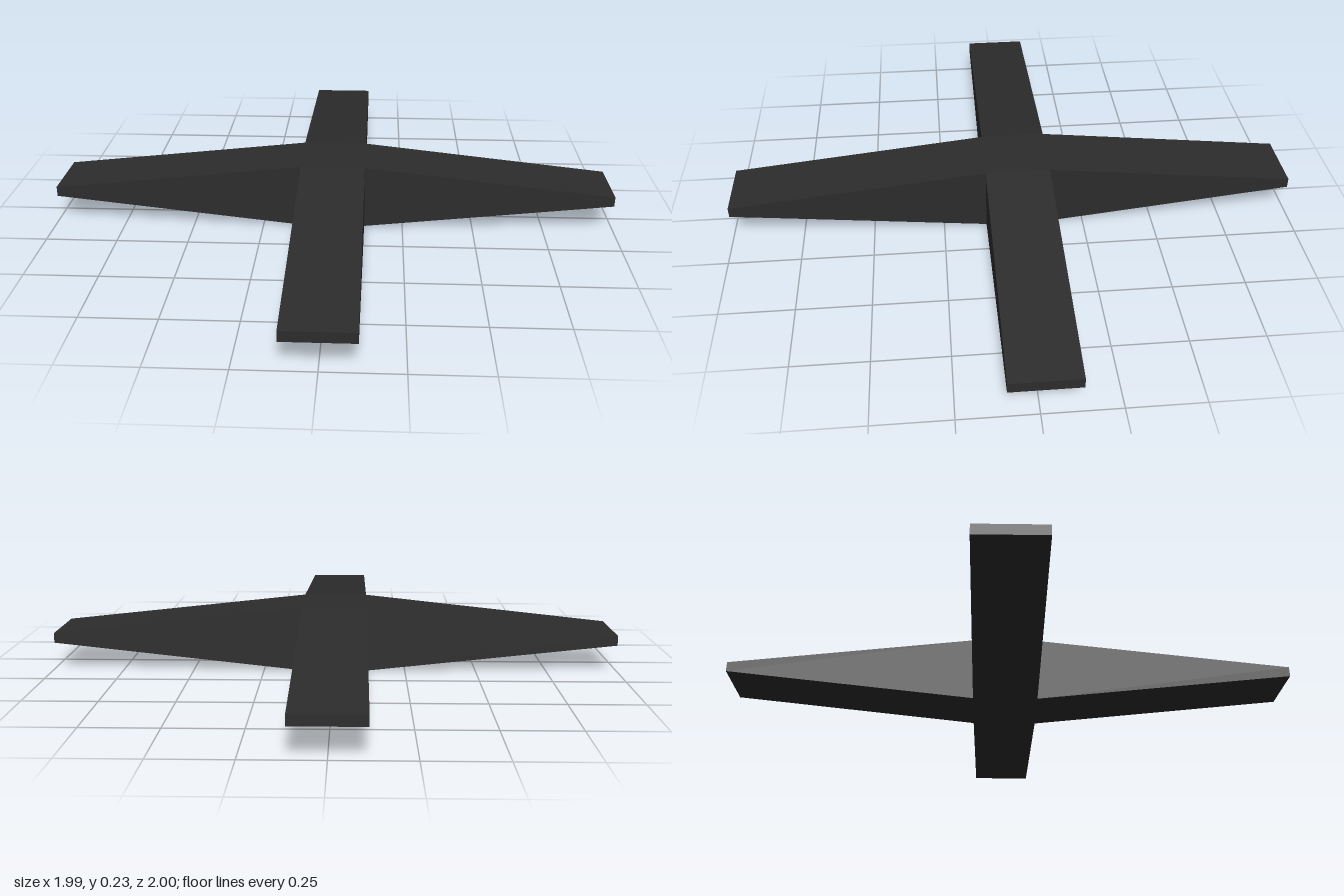
import * as THREE from 'three';

const HALF = 0.113;      // half width of hub and arms
const HEIGHT = 0.228;    // hub thickness
const TIP = 0.035;       // tip thickness
const MID = 0.116;       // height of the centre plane
const HUB_Z = -0.015;    // hub sits slightly behind centre

// Arm along +z: full height at the root, thin at the tip, open where it joins the hub
function armGeometry(length) {
  const g = new THREE.BoxGeometry(HALF * 2, HEIGHT, length);
  g.translate(0, 0, length / 2);
  const p = g.attributes.position;
  for (let i = 0; i < p.count; i++) {
    if (p.getZ(i) > length / 2) p.setY(i, Math.sign(p.getY(i)) * TIP / 2);
  }
  g.setIndex(Array.from(g.index.array).slice(0, 30));
  g.clearGroups();
  g.computeVertexNormals();
  return g;
}

export function createModel() {
  const model = new THREE.Group();
  model.name = 'taperedCross';
  const charcoal = new THREE.MeshStandardMaterial({ color: 0x2c2c2c });
  charcoal.name = 'charcoal';

  // Hub: only the top and bottom faces are exposed
  const hubGeo = new THREE.BoxGeometry(HALF * 2, HEIGHT, HALF * 2);
  hubGeo.setIndex(Array.from(hubGeo.index.array).slice(12, 24));
  hubGeo.clearGroups();
  const hub = new THREE.Mesh(hubGeo, charcoal);
  hub.name = 'hub';
  hub.position.set(0, MID, HUB_Z);
  model.add(hub);

  // Four arms, each reaching from a hub side to its tip
  const arms = [
    ['frontArm', 0, 1 - HUB_Z],
    ['leftArm', 1, 0.995],
    ['backArm', 2, 1 + HUB_Z],
    ['rightArm', 3, 0.995],
  ];
  for (const [name, turn, reach] of arms) {
    const angle = turn * Math.PI / 2;
    const arm = new THREE.Mesh(armGeometry(reach - HALF), charcoal);
    arm.name = name;
    arm.rotation.y = angle;
    arm.position.set(Math.sin(angle) * HALF, MID, HUB_Z + Math.cos(angle) * HALF);
    model.add(arm);
  }
  return model;
}
